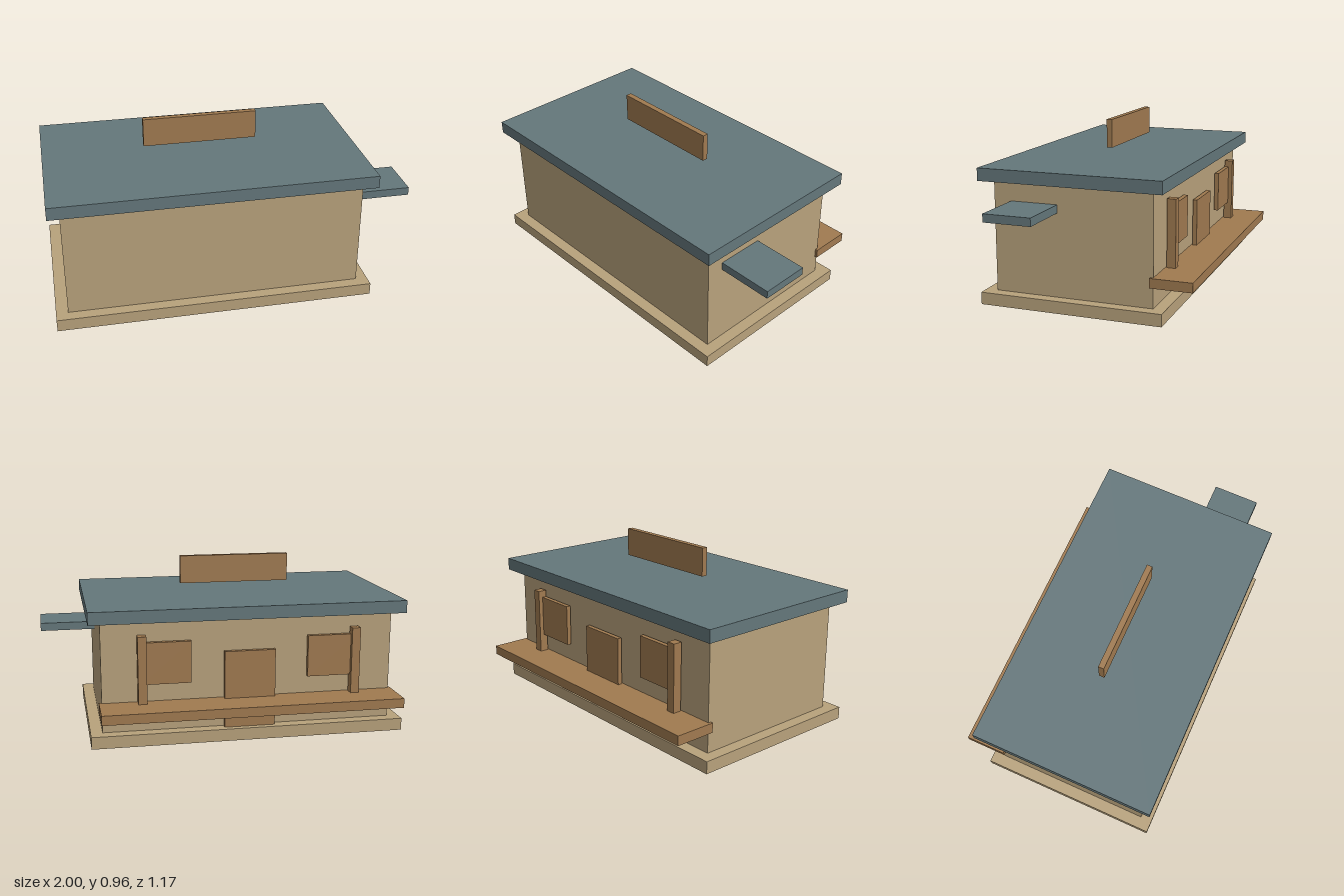
import * as THREE from 'three';

export function createModel() {
  const model = new THREE.Group();
  const tan = new THREE.MeshStandardMaterial({ color: 0xb8a27c });
  const slate = new THREE.MeshStandardMaterial({ color: 0x64777b });
  const wood = new THREE.MeshStandardMaterial({ color: 0xa07a50 });

  // Box given by its extents along each axis
  function block(name, material, [x0, x1], [y0, y1], [z0, z1]) {
    const mesh = new THREE.Mesh(new THREE.BoxGeometry(x1 - x0, y1 - y0, z1 - z0), material);
    mesh.position.set((x0 + x1) / 2, (y0 + y1) / 2, (z0 + z1) / 2);
    mesh.name = name;
    model.add(mesh);
  }

  const cx = -0.122; // centre line of the building
  const span = (half, centre = cx) => [centre - half, centre + half];

  // Building
  block('foundation', tan, span(0.878), [0, 0.068], [-0.44, 0.587]);
  block('walls', tan, span(0.813), [0.068, 0.682], [-0.373, 0.522]);
  block('roof', slate, span(0.878), [0.682, 0.752], [-0.44, 0.587]);

  // Raised board above the roof and canopy over the side entrance
  block('signBoard', wood, span(0.317), [0.803, 0.962], [0.043, 0.075]);
  block('sideCanopy', slate, [0.69, 1], [0.528, 0.573], [0.158, 0.424]);

  // Rear porch
  block('porchDeck', wood, span(0.828), [0.181, 0.234], [-0.587, -0.356]);
  block('rearDoor', wood, span(0.142), [0.068, 0.5], [-0.406, -0.381]);
  for (const [side, s] of [['left', 1], ['right', -1]]) {
    block(side + 'PorchPost', wood, span(0.024, cx + s * 0.595), [0.234, 0.607], [-0.43, -0.381]);
    block(side + 'Shutter', wood, span(0.138, cx + s * 0.464), [0.336, 0.568], [-0.406, -0.381]);
  }

  return model;
}
